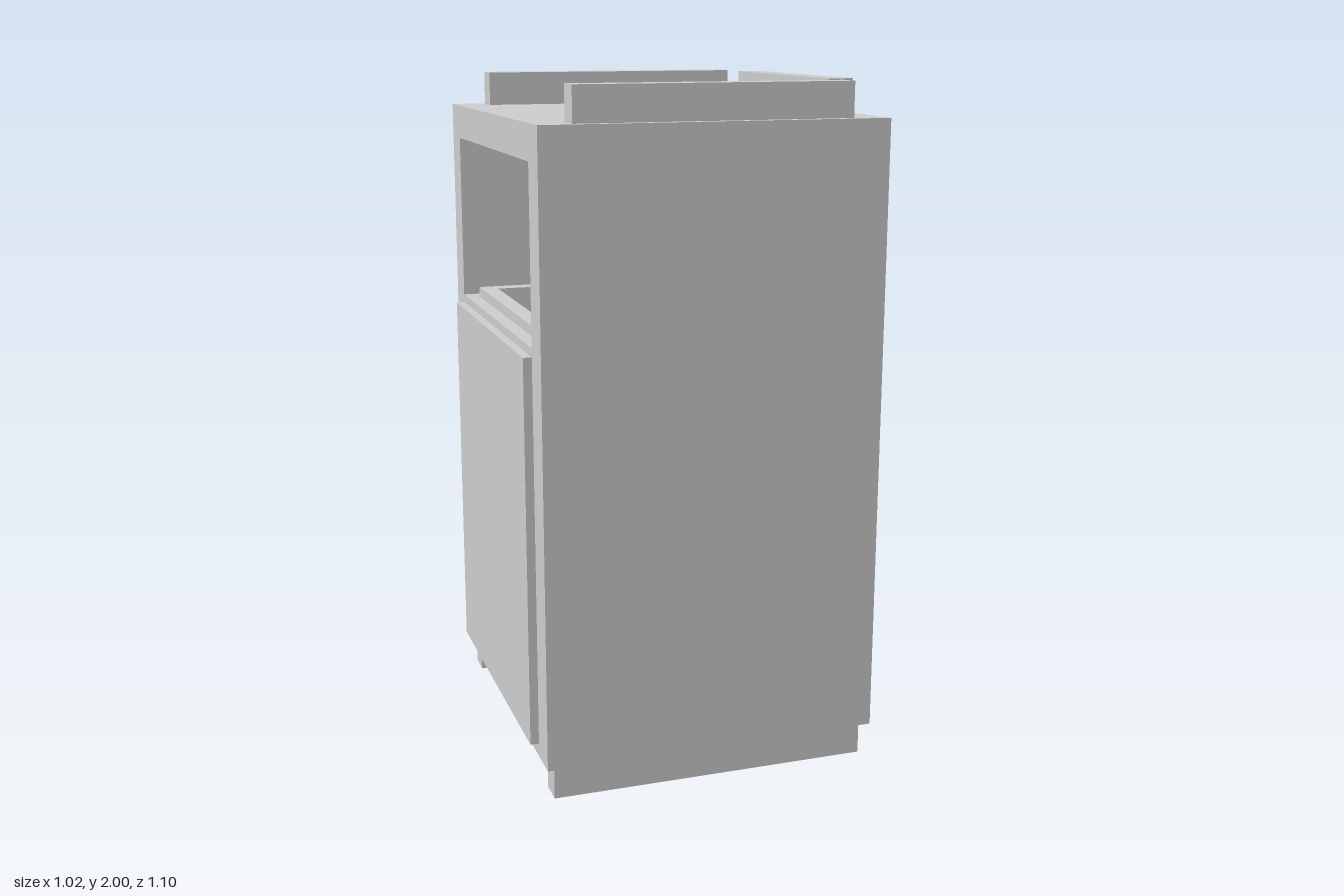
import * as THREE from 'three';

const material = new THREE.MeshStandardMaterial({ color: 0xcccccc, flatShading: true });

// Closed outline from corner pairs in plan (x, z)
const outline = (pts) => pts.map(([x, z]) => new THREE.Vector2(x, z));
const rect = (x0, x1, z) => outline([[x0, -z], [x1, -z], [x1, z], [x0, z]]);

// Plan outline raised from y0 to y1, with an optional hole
function slab(name, points, y0, y1, hole) {
  const shape = new THREE.Shape(points);
  if (hole) shape.holes.push(new THREE.Path(hole));
  const geometry = new THREE.ExtrudeGeometry(shape, { depth: y1 - y0, bevelEnabled: false });
  geometry.rotateX(-Math.PI / 2).translate(0, y0, 0);
  const mesh = new THREE.Mesh(geometry, material);
  mesh.name = name;
  return mesh;
}

// Box given by its limits on each axis
function box(name, x0, x1, y0, y1, z0, z1) {
  const mesh = new THREE.Mesh(new THREE.BoxGeometry(x1 - x0, y1 - y0, z1 - z0), material);
  mesh.position.set((x0 + x1) / 2, (y0 + y1) / 2, (z0 + z1) / 2);
  mesh.name = name;
  return mesh;
}

export function createModel() {
  const model = new THREE.Group();
  model.name = 'cabinet';

  const footprint = rect(-0.49, 0.51, 0.55);
  const binHole = rect(-0.4, 0.31, 0.35);

  // Cabinet body: floor, bin well, open compartment and top
  const body = new THREE.Group();
  body.name = 'body';
  body.add(
    slab('bodyFloor', footprint, 0.1, 0.2),
    slab('binWell', footprint, 0.2, 1.3, binHole),
    slab('compartmentWalls', outline([
      [-0.49, -0.55], [0.51, -0.55], [0.51, 0.55], [-0.49, 0.55],
      [-0.49, 0.45], [0.41, 0.45], [0.41, -0.45], [-0.49, -0.45],
    ]), 1.3, 1.8),
    slab('bodyTop', footprint, 1.8, 1.9),
  );
  model.add(body);

  // Raised frame around the bin well, and the door panel below the opening
  model.add(slab('binRim', rect(-0.45, 0.36, 0.4), 1.3, 1.33, binHole));
  model.add(box('door', -0.515, -0.49, 0.14, 1.275, -0.45, 0.45));

  // Feet and long top rails, mirrored front to back
  for (const [side, z0, z1] of [['front', 0.45, 0.525], ['back', -0.525, -0.45]]) {
    model.add(box(side + 'Foot', -0.465, 0.485, 0, 0.1, z0, z1));
    model.add(box(side + 'TopRail', -0.39, 0.41, 1.9, 2, z0, z1));
  }

  // Top rail along the closed side
  model.add(box('sideTopRail', 0.41, 0.485, 1.9, 2, -0.35, 0.35));

  return model;
}
